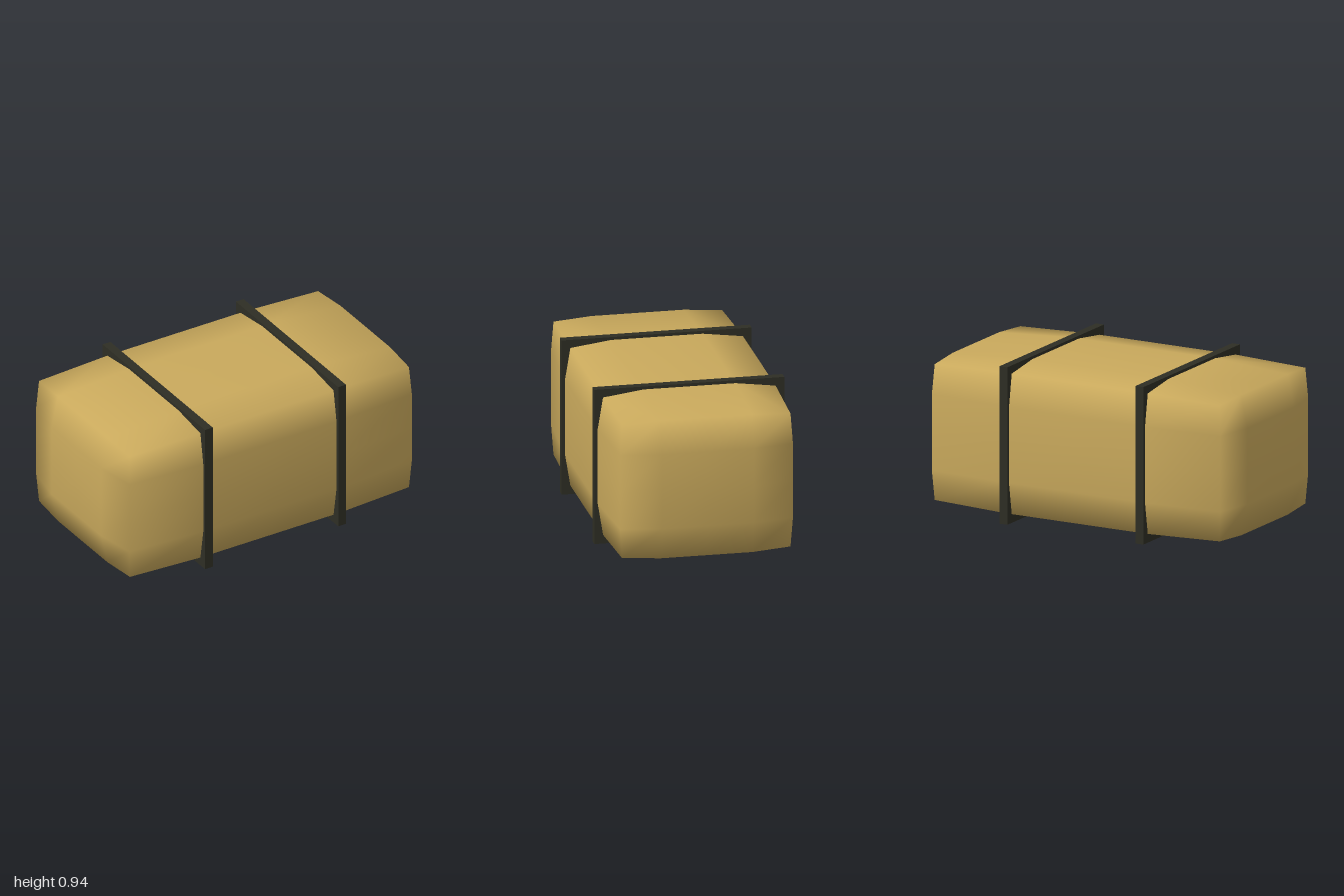
import * as THREE from 'three';
import { mergeVertices } from 'three/addons/utils/BufferGeometryUtils.js';

const HALF = [1, 0.45, 0.54]; // half sizes of the bale
const MID = [0.47, 0.225, 0.27]; // where the flat middle of each side ends
const EDGE = [0.043, 0.032, 0.032]; // inset along edges
const CORNER = [0.055, 0.046, 0.044]; // inset at the corners

// Box whose edges and corners are drawn in, with normals shared across them
function baleGeometry() {
  let geo = new THREE.BoxGeometry(2, 2, 2, 4, 4, 4);
  geo.deleteAttribute('uv');
  geo.deleteAttribute('normal');
  geo = mergeVertices(geo);
  const pos = geo.attributes.position;
  for (let i = 0; i < pos.count; i++) {
    const p = [pos.getX(i), pos.getY(i), pos.getZ(i)];
    const sides = p.filter((v) => Math.abs(v) > 0.9).length;
    const q = p.map((v, a) => {
      if (Math.abs(v) < 0.1) return 0;
      if (Math.abs(v) < 0.9) return Math.sign(v) * MID[a];
      const inset = sides === 3 ? CORNER[a] : sides === 2 ? EDGE[a] : 0;
      return Math.sign(v) * (HALF[a] - inset);
    });
    pos.setXYZ(i, ...q);
  }
  geo.computeVertexNormals();
  return geo;
}

export function createModel() {
  const straw = new THREE.MeshStandardMaterial({ color: 0xc9a95c });
  straw.name = 'straw';
  const twine = new THREE.MeshStandardMaterial({ color: 0x2e2e24 });
  twine.name = 'darkTwine';
  const group = new THREE.Group();
  group.name = 'strappedBale';

  const bale = new THREE.Mesh(baleGeometry(), straw);
  bale.name = 'bale';
  bale.position.y = 0.47;
  group.add(bale);

  // Square straps standing slightly proud of the bale
  const strapGeo = new THREE.BoxGeometry(0.052, 0.937, 1.118);
  [['rightStrap', -0.449], ['leftStrap', 0.453]].forEach(([name, x]) => {
    const strap = new THREE.Mesh(strapGeo, twine);
    strap.name = name;
    strap.position.set(x, 0.4685, 0);
    group.add(strap);
  });
  return group;
}
